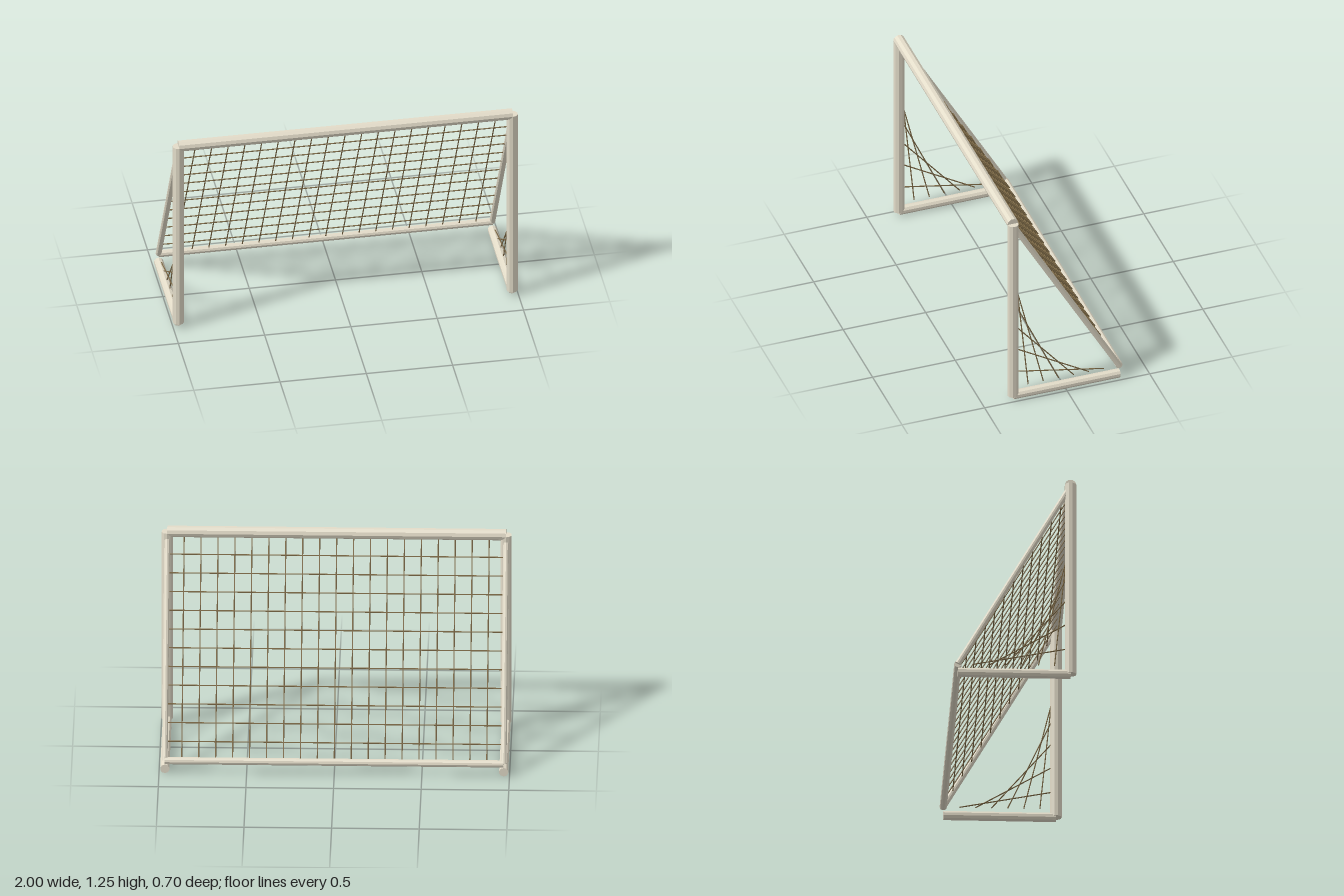
import * as THREE from 'three';

export function createModel() {
  const goal = new THREE.Group();
  goal.name = 'goal';
  const frameMat = new THREE.MeshStandardMaterial({ color: 0xe3dcc9, flatShading: true });
  frameMat.name = 'frame beige';
  const netMat = new THREE.MeshStandardMaterial({ color: 0x806c48, flatShading: true });
  netMat.name = 'net brown';

  const X = 0.967, FRONT = 0.317, BACK = -0.327, TOP = 1.22, REAR_Y = 0.08;
  const up = new THREE.Vector3(0, 1, 0);

  // Straight round bar between two points
  function bar(name, a, b, radius, sides, material, parent) {
    const start = new THREE.Vector3(...a), end = new THREE.Vector3(...b);
    const dir = end.clone().sub(start);
    const mesh = new THREE.Mesh(new THREE.CylinderGeometry(radius, radius, dir.length(), sides), material);
    mesh.position.copy(start).add(end).multiplyScalar(0.5);
    mesh.quaternion.setFromUnitVectors(up, dir.normalize());
    mesh.name = name;
    parent.add(mesh);
  }

  // Frame
  const frame = new THREE.Group();
  frame.name = 'frame';
  goal.add(frame);
  bar('crossbar', [-X, TOP, FRONT], [X, TOP, FRONT], 0.033, 10, frameMat, frame);
  bar('rearBar', [-X, REAR_Y, BACK], [X, REAR_Y, BACK], 0.021, 10, frameMat, frame);
  for (const [side, x] of [['left', X], ['right', -X]]) {
    bar(side + 'Post', [x, 0.027, FRONT], [x, TOP, FRONT], 0.033, 10, frameMat, frame);
    bar(side + 'BaseBar', [x, 0.027, FRONT], [x, 0.027, BACK], 0.027, 10, frameMat, frame);
    bar(side + 'Brace', [x, TOP - 0.01, FRONT], [x, REAR_Y, BACK], 0.017, 10, frameMat, frame);
  }

  // Sloping back net
  const backNet = new THREE.Group();
  backNet.name = 'backNet';
  goal.add(backNet);
  const R = 0.0036, NET_TOP = 1.194, NET_LOW = 0.084;
  for (let i = 1; i < 20; i++) {
    const x = -X + (2 * X * i) / 20;
    bar('netUpright', [x, NET_LOW, BACK], [x, NET_TOP, FRONT], R, 5, netMat, backNet);
  }
  for (let i = 1; i < 12; i++) {
    const y = THREE.MathUtils.lerp(NET_LOW, NET_TOP, i / 12);
    const z = THREE.MathUtils.lerp(BACK, FRONT, i / 12);
    bar('netRow', [-X, y, z], [X, y, z], R, 5, netMat, backNet);
  }

  // Side nets: straight strands fanning from post to base
  for (const [side, x] of [['left', X], ['right', -X]]) {
    const sideNet = new THREE.Group();
    sideNet.name = side + 'SideNet';
    goal.add(sideNet);
    for (let i = 1; i < 7; i++) {
      const t = i / 7;
      const y = THREE.MathUtils.lerp(1.18, 0.025, t);
      const z = THREE.MathUtils.lerp(FRONT, BACK, t);
      bar('sideStrand', [x, y, FRONT], [x, 0.08, z], R, 5, netMat, sideNet);
    }
  }
  return goal;
}
